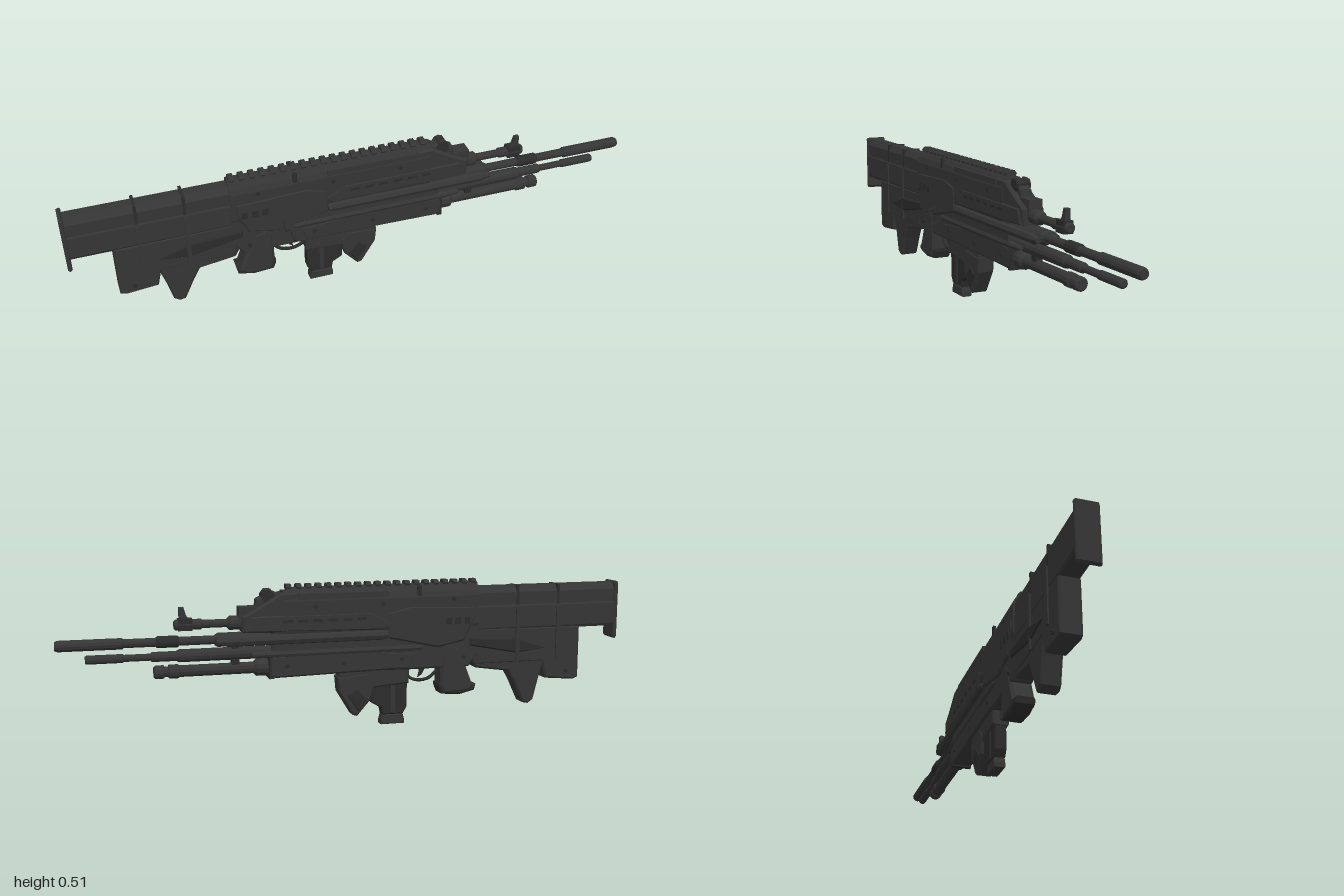
import * as THREE from 'three';

const body = new THREE.MeshStandardMaterial({ color: 0x353535, flatShading: true });
body.name = 'charcoal';
const dark = new THREE.MeshStandardMaterial({ color: 0x2b2b2b, flatShading: true });
dark.name = 'dark charcoal';

export function createModel() {
  const root = new THREE.Group();
  root.name = 'rifleProp';
  root.position.z = -0.011;

  const add = (name, geo, mat = body, x = 0, y = 0, z = 0) => {
    const m = new THREE.Mesh(geo, mat);
    m.name = name;
    m.position.set(x, y, z);
    root.add(m);
    return m;
  };
  const toShape = pts => new THREE.Shape(pts.map(p => new THREE.Vector2(p[0], p[1])));
  // side outline (x, y) extruded to +-half in z with a chamfer
  const slab = (name, pts, half, mat = body, bevel = 0.006, z = 0) => {
    const geo = new THREE.ExtrudeGeometry(toShape(pts), {
      depth: 2 * (half - bevel), bevelEnabled: true, bevelSegments: 1,
      bevelSize: bevel, bevelThickness: bevel, bevelOffset: -bevel,
    });
    geo.translate(0, 0, -(half - bevel));
    return add(name, geo, mat, 0, 0, z);
  };
  // mirrored half section (z, y) swept along x
  const beam = (name, halfPts, x0, x1, mat = body) => {
    const pts = [...halfPts, ...halfPts.slice().reverse().map(([z, y]) => [-z, y])];
    const geo = new THREE.ExtrudeGeometry(toShape(pts), { depth: x1 - x0, bevelEnabled: false });
    geo.rotateY(Math.PI / 2);
    return add(name, geo, mat, x0);
  };
  const box = (name, x0, x1, y0, y1, half, mat = body, z = 0) =>
    add(name, new THREE.BoxGeometry(x1 - x0, y1 - y0, 2 * half), mat, (x0 + x1) / 2, (y0 + y1) / 2, z);
  // turned part along x from [x, radius] steps
  const turned = (name, steps, y, mat = body, sides = 12, z = 0) => {
    const prof = [[steps[0][0], 0], ...steps, [steps[steps.length - 1][0], 0]];
    const geo = new THREE.LatheGeometry(prof.map(([x, r]) => new THREE.Vector2(r, x)), sides);
    geo.rotateZ(-Math.PI / 2);
    return add(name, geo, mat, 0, y, z);
  };
  const bothSides = fn => [1, -1].forEach(fn);

  // Shoulder stock
  beam('upperStock', [[0.031, 0.32], [0.036, 0.33], [0.036, 0.405], [0.033, 0.41], [0.033, 0.455], [0.018, 0.478]], -0.99, -0.42);
  slab('buttPlate', [[-1, 0.28], [-0.993, 0.272], [-0.985, 0.28], [-0.985, 0.478], [-0.99, 0.484], [-1, 0.48]], 0.039, body, 0.004);
  slab('lowerStock', [[-0.85, 0.325], [-0.85, 0.135], [-0.83, 0.127], [-0.72, 0.137], [-0.705, 0.2],
    [-0.45, 0.2], [-0.42, 0.33]], 0.036);
  slab('stockFoot', [[-0.72, 0.22], [-0.695, 0.14], [-0.675, 0.06], [-0.655, 0.046], [-0.635, 0.05],
    [-0.6, 0.125], [-0.575, 0.17], [-0.45, 0.188], [-0.42, 0.24], [-0.6, 0.25]], 0.033);
  slab('stockRib', [[-0.72, 0.25], [-0.6, 0.235], [-0.42, 0.27], [-0.42, 0.3], [-0.6, 0.29]], 0.041, dark);
  for (const x of [-0.762, -0.605]) box('stockStrap', x - 0.007, x + 0.007, 0.205, 0.4, 0.041);
  for (const x of [-0.762, -0.605]) box('strapTopBand', x - 0.005, x + 0.005, 0.39, 0.479, 0.034, dark);

  // Receiver
  beam('upperReceiver', [[0.037, 0.34], [0.04, 0.35], [0.04, 0.45], [0.034, 0.47], [0.025, 0.485]], -0.455, 0.25);
  slab('lowerReceiver', [[-0.46, 0.36], [-0.46, 0.25], [-0.42, 0.195], [-0.2, 0.195], [0.29, 0.205],
    [0.29, 0.36]], 0.036);
  slab('frontReceiver', [[0.2, 0.34], [0.2, 0.48], [0.26, 0.478], [0.34, 0.43], [0.39, 0.405], [0.39, 0.35]], 0.038);
  slab('receiverPlate', [[-0.44, 0.41], [-0.44, 0.37], [-0.4, 0.29], [-0.3, 0.27], [-0.12, 0.31],
    [-0.12, 0.40], [-0.2, 0.42]], 0.043);
  slab('sidePanel', [[-0.14, 0.36], [-0.1, 0.34], [0.38, 0.35], [0.36, 0.405], [-0.06, 0.405]], 0.042);
  for (let i = 0; i < 6; i++) box('coolingSlot', -0.04 + i * 0.052, -0.008 + i * 0.052, 0.378, 0.388, 0.044, dark);
  for (let i = 0; i < 3; i++) box('gripSlot', -0.42 + i * 0.035, -0.4 + i * 0.035, 0.35, 0.375, 0.045, dark);

  // Top rail with teeth
  beam('railBase', [[0.022, 0.478], [0.014, 0.494]], -0.455, 0.235);
  for (let i = 0; i < 20; i++) {
    const x = -0.45 + i * 0.0352;
    beam('railTooth', [[0.017, 0.49], [0.02, 0.496], [0.012, 0.506]], x, x + 0.018);
  }
  bothSides(s => {
    box('railClamp', -0.24, -0.225, 0.45, 0.49, 0.005, dark, s * 0.034);
    box('upperStep', -0.12, 0.2, 0.455, 0.475, 0.004, body, s * 0.036);
  });

  // Rear aperture and hinge ahead of the rail
  slab('sightBase', [[0.24, 0.43], [0.25, 0.47], [0.28, 0.485], [0.34, 0.46], [0.345, 0.42]], 0.02);
  const drum = add('sightDrum', new THREE.CylinderGeometry(0.022, 0.022, 0.052, 10), dark, 0.3, 0.468);
  drum.rotation.x = Math.PI / 2;
  bothSides(s => slab('sightEar', [[0.285, 0.46], [0.29, 0.493], [0.31, 0.493], [0.325, 0.46]], 0.004, body, 0.001, s * 0.014));
  box('hingeBlock', 0.34, 0.4, 0.38, 0.435, 0.024);

  // Gas tube and front post
  turned('gasTube', [[0.36, 0.024], [0.43, 0.024], [0.44, 0.014], [0.52, 0.014], [0.525, 0.018], [0.61, 0.018], [0.615, 0.013]], 0.381);
  slab('frontPost', [[0.56, 0.39], [0.575, 0.415], [0.582, 0.44], [0.598, 0.44], [0.598, 0.38], [0.565, 0.375]], 0.009, body, 0.002);
  box('postBand', 0.555, 0.602, 0.362, 0.402, 0.017, dark);

  // Three stacked barrels
  turned('mainBarrel', [[0.1, 0.015], [0.78, 0.015], [0.785, 0.019], [0.99, 0.019], [1, 0.015]], 0.326);
  turned('mainBarrelSleeve', [[-0.13, 0.02], [-0.1, 0.026], [0.2, 0.026], [0.47, 0.024], [0.48, 0.018]], 0.325);
  turned('mainBarrelCollar', [[0.6, 0.017], [0.605, 0.02], [0.67, 0.02], [0.675, 0.017]], 0.326, dark);
  turned('middleBarrel', [[0.2, 0.022], [0.6, 0.022], [0.61, 0.017], [0.69, 0.017], [0.695, 0.012],
    [0.78, 0.012], [0.785, 0.015], [0.9, 0.015], [0.905, 0.012]], 0.277);
  turned('lowerBarrel', [[0.2, 0.03], [0.34, 0.03], [0.35, 0.02], [0.6, 0.02], [0.605, 0.024],
    [0.635, 0.024], [0.637, 0.018], [0.65, 0.018], [0.652, 0.023], [0.68, 0.023], [0.685, 0.018]], 0.225);
  bothSides(s => {
    turned('sideTube', [[-0.12, 0.012], [-0.1, 0.018], [0.44, 0.018], [0.48, 0.01]], 0.323, body, 8, s * 0.034);
    turned('lowerSideTube', [[-0.25, 0.008], [-0.23, 0.013], [0.3, 0.013], [0.36, 0.008]], 0.272, body, 8, s * 0.029);
  });
  slab('foreHousing', [[-0.22, 0.255], [-0.2, 0.2], [0.28, 0.19], [0.3, 0.2], [0.3, 0.262], [0.1, 0.28]], 0.038);
  box('housingBand', 0.285, 0.302, 0.188, 0.26, 0.037, dark);
  box('barrelBracket', 0.4, 0.425, 0.21, 0.33, 0.013, dark);

  // Pistol grip
  slab('pistolGrip', [[-0.385, 0.27], [-0.405, 0.21], [-0.44, 0.12], [-0.42, 0.104], [-0.325, 0.1],
    [-0.315, 0.13], [-0.315, 0.26], [-0.33, 0.285]], 0.038, body, 0.01);
  slab('gripFoot', [[-0.45, 0.13], [-0.445, 0.108], [-0.39, 0.095], [-0.32, 0.1], [-0.31, 0.125], [-0.31, 0.138]], 0.034, dark);

  // Trigger and guard
  const guard = new THREE.CatmullRomCurve3([[-0.31, 0.18], [-0.28, 0.155], [-0.235, 0.15], [-0.205, 0.165], [-0.195, 0.2]]
    .map(([x, y]) => new THREE.Vector3(x, y, 0)));
  add('triggerGuard', new THREE.TubeGeometry(guard, 14, 0.006, 6), dark);
  slab('trigger', [[-0.27, 0.2], [-0.255, 0.17], [-0.24, 0.16], [-0.245, 0.18], [-0.245, 0.2]], 0.005, dark, 0.001);

  // Magazine
  slab('magazine', [[-0.195, 0.22], [-0.195, 0.06], [-0.18, 0.035], [-0.105, 0.035], [-0.1, 0.06],
    [-0.065, 0.08], [-0.065, 0.22]], 0.02, dark, 0.004);
  slab('magazineBase', [[-0.185, 0], [-0.185, 0.016], [-0.18, 0.035], [-0.105, 0.035], [-0.1, 0.016], [-0.1, 0]], 0.019, body, 0.003);
  slab('magazineWell', [[-0.2, 0.22], [-0.2, 0.145], [-0.07, 0.135], [0.05, 0.145], [0.06, 0.22]], 0.028);
  box('magazineRib', -0.15, -0.135, 0.045, 0.14, 0.022);

  // Angled foregrip
  slab('foregrip', [[-0.075, 0.16], [-0.06, 0.095], [-0.01, 0.038], [0.005, 0.042], [0.055, 0.125],
    [0.06, 0.18], [-0.05, 0.19]], 0.03);
  slab('foregripPad', [[-0.05, 0.095], [-0.012, 0.05], [0.03, 0.115], [-0.01, 0.14]], 0.033, dark);

  // Two slanted levers on the front side
  for (const [x, y] of [[-0.275, 0.301], [-0.25, 0.252]]) {
    const lever = add('sideLever', new THREE.BoxGeometry(0.012, 0.007, 0.05), dark, x, y, 0.054);
    lever.rotation.x = 0.4;
  }

  // Bolts and pins on both faces
  for (const [x, y] of [[-0.36, 0.44], [-0.1, 0.43], [0.14, 0.43], [-0.4, 0.23], [-0.17, 0.235], [0.04, 0.23], [0.24, 0.23], [-0.8, 0.16]]) {
    const pin = add('pin', new THREE.CylinderGeometry(0.008, 0.008, 0.083, 8), dark, x, y);
    pin.rotation.x = Math.PI / 2;
  }

  const group = new THREE.Group();
  group.name = 'model';
  group.add(root);
  return group;
}
